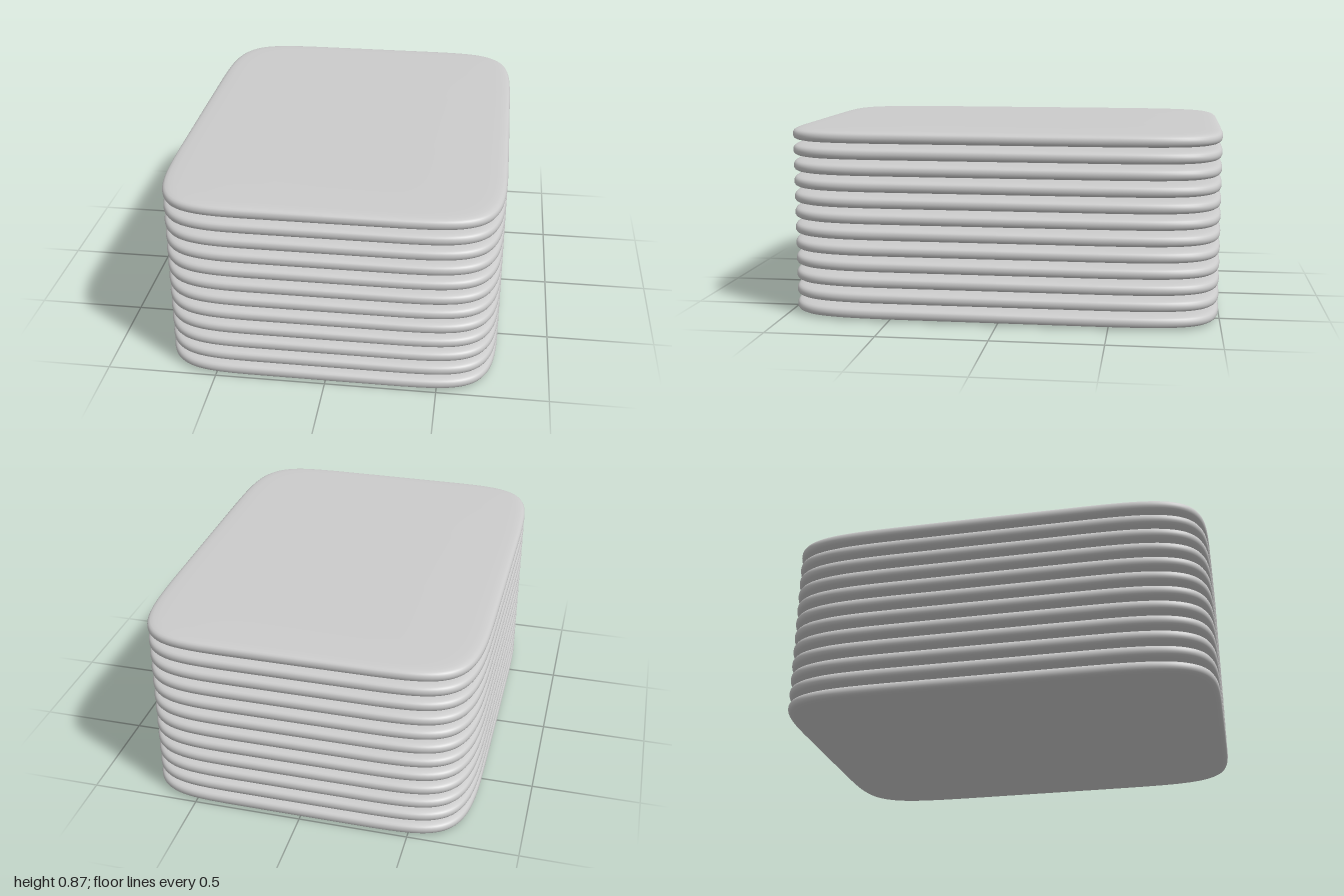
import * as THREE from 'three';
import { mergeVertices } from 'three/addons/utils/BufferGeometryUtils.js';

const HALF_X = 0.765, HALF_Z = 1, HALF_T = 0.0325;
const COUNT = 12, PITCH = 0.0733, POWER = 7;

// Soft rectangular slab: a lathed lens whose rings are remapped to bowed, rounded rectangles
function slabGeometry() {
  // [inset from the rim, height above the middle plane]
  const half = [
    [0, 0], [0.001, 0.009], [0.005, 0.017], [0.012, 0.022], [0.025, 0.026],
    [0.05, 0.0285], [0.1, 0.0302], [0.2, 0.0315], [0.4, 0.0323], [HALF_X, HALF_T],
  ];
  const top = half.map(([inset, y]) => new THREE.Vector2(HALF_X - inset, y));
  const bottom = top.slice(1).reverse().map((p) => new THREE.Vector2(p.x, -p.y));
  let geo = new THREE.LatheGeometry([...bottom, ...top], 96);
  geo.deleteAttribute('uv');
  geo.deleteAttribute('normal');
  geo = mergeVertices(geo, 1e-6);

  const squash = (v) => (Math.abs(v) < 1e-5 ? 0 : Math.sign(v) * Math.abs(v) ** (2 / POWER));
  const pos = geo.attributes.position;
  for (let i = 0; i < pos.count; i++) {
    const x = pos.getX(i), z = pos.getZ(i), r = Math.hypot(x, z);
    if (r < 1e-5) continue;
    // Near the rim the inset is equal on all sides; towards the middle it scales to a point
    const inset = HALF_X - r;
    const rz = inset < 0.1 ? HALF_Z - inset : (HALF_Z - 0.1) * r / (HALF_X - 0.1);
    pos.setX(i, squash(x / r) * r);
    pos.setZ(i, squash(z / r) * rz);
  }
  geo.computeVertexNormals();
  return geo;
}

export function createModel() {
  const group = new THREE.Group();
  group.name = 'slabStack';
  const material = new THREE.MeshStandardMaterial({ color: 0xcccccc });
  const geometry = slabGeometry();

  // Evenly spaced stack with narrow gaps
  for (let i = 0; i < COUNT; i++) {
    const slab = new THREE.Mesh(geometry, material);
    slab.name = `slab${i + 1}`;
    slab.position.y = HALF_T + i * PITCH;
    group.add(slab);
  }
  return group;
}
